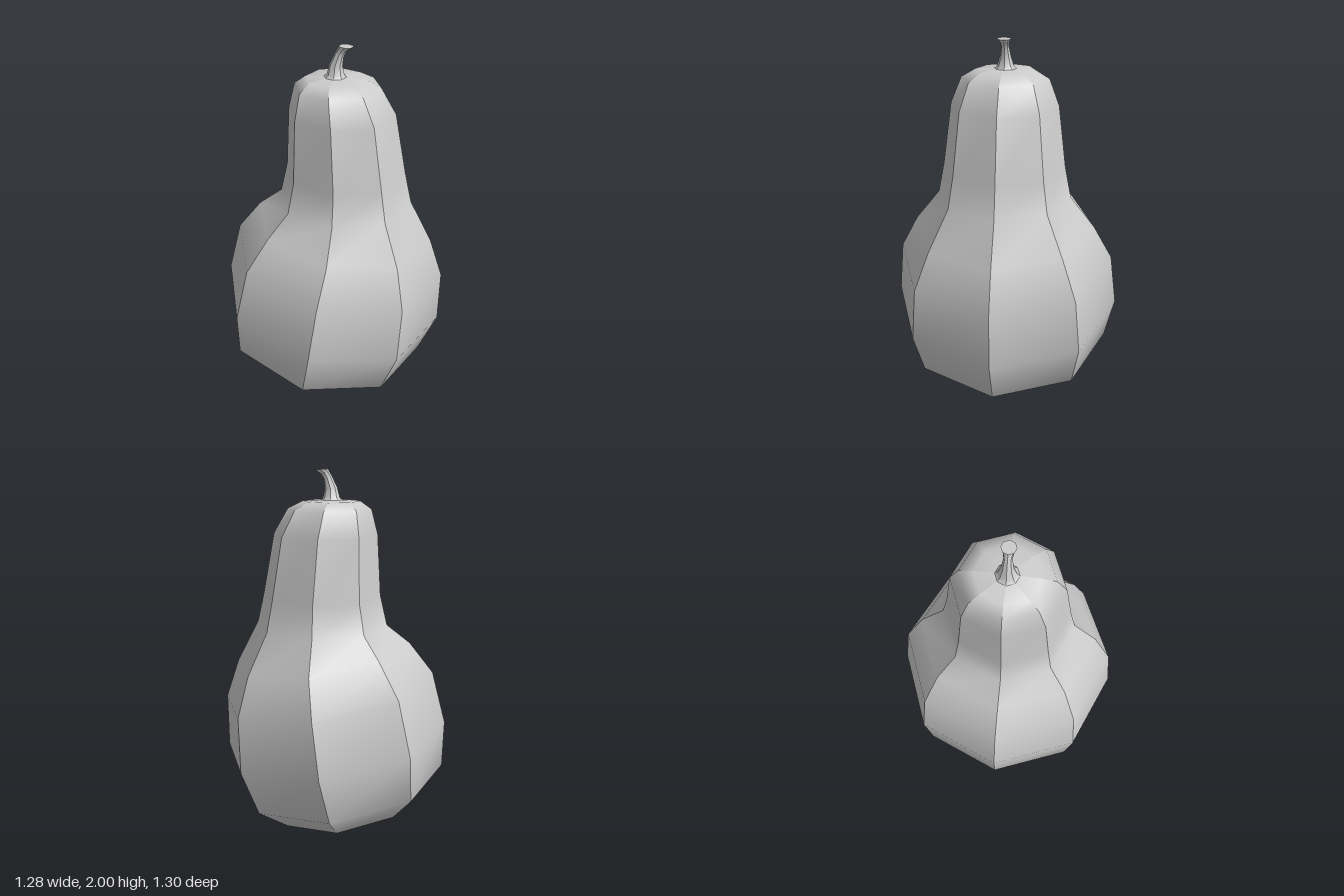
import * as THREE from 'three';

const SIDES = 8;

// Each ring: [left x, left y, right x, right y, half depth]
const BODY = [
  [-0.495, 0.135, 0.355, 0.0, 0.43],
  [-0.64, 0.31, 0.54, 0.13, 0.6],
  [-0.645, 0.58, 0.64, 0.38, 0.65],
  [-0.565, 0.88, 0.64, 0.69, 0.61],
  [-0.43, 1.05, 0.565, 0.91, 0.505],
  [-0.3, 1.15, 0.44, 1.15, 0.37],
  [-0.26, 1.32, 0.4, 1.32, 0.335],
  [-0.24, 1.655, 0.335, 1.655, 0.29],
  [-0.205, 1.79, 0.255, 1.79, 0.235],
  [-0.145, 1.832, 0.17, 1.832, 0.16],
  [0.012, 1.84, 0.012, 1.84, 0],
];

const STEM = [
  [-0.05, 1.835, 0.072, 1.835, 0.062],
  [-0.032, 1.85, 0.06, 1.85, 0.045],
  [-0.018, 1.905, 0.05, 1.895, 0.03],
  [0.012, 1.965, 0.056, 1.945, 0.021],
  [0.026, 1.988, 0.072, 1.972, 0.025],
  [0.03, 2.0, 0.106, 1.996, 0.038],
];

// Point on a tilted elliptical ring
function ringPoint([lx, ly, rx, ry, depth], j) {
  const a = (j / SIDES) * Math.PI * 2;
  const c = Math.cos(a);
  return [
    (lx + rx) / 2 + ((rx - lx) / 2) * c,
    (ly + ry) / 2 + ((ry - ly) / 2) * c,
    depth * Math.sin(a),
  ];
}

// Facets smooth along their height, with sharp edges between neighbours
function ribbedLoft(rings) {
  const pos = [], idx = [];
  for (let j = 0; j < SIDES; j++) {
    const start = pos.length / 3;
    rings.forEach((r, i) => {
      pos.push(...ringPoint(r, j), ...ringPoint(r, j + 1));
      if (i === 0) return;
      const a = start + (i - 1) * 2, b = a + 1, c = a + 2, d = a + 3;
      idx.push(a, c, b);
      if (r[4] > 0) idx.push(b, c, d);
    });
  }
  return finish(pos, idx);
}

// Flat polygon closing one ring
function ringCap(ring, up) {
  const pos = [], idx = [];
  for (let j = 0; j < SIDES; j++) pos.push(...ringPoint(ring, j));
  for (let j = 1; j < SIDES - 1; j++) idx.push(0, up ? j + 1 : j, up ? j : j + 1);
  return finish(pos, idx);
}

function finish(pos, idx) {
  const g = new THREE.BufferGeometry();
  g.setAttribute('position', new THREE.Float32BufferAttribute(pos, 3));
  g.setIndex(idx);
  g.computeVertexNormals();
  return g;
}

export function createModel() {
  const group = new THREE.Group();
  group.name = 'gourd';
  const material = new THREE.MeshStandardMaterial({ color: 0xcccccc });
  const add = (name, geometry) => {
    const mesh = new THREE.Mesh(geometry, material);
    mesh.name = name;
    group.add(mesh);
  };

  // Bulbous body, leaning on its slanted base
  add('body', ribbedLoft(BODY));
  add('base', ringCap(BODY[0], false));

  // Curved stem with flared foot and tip
  add('stem', ribbedLoft(STEM));
  add('stemTip', ringCap(STEM[STEM.length - 1], true));
  return group;
}
